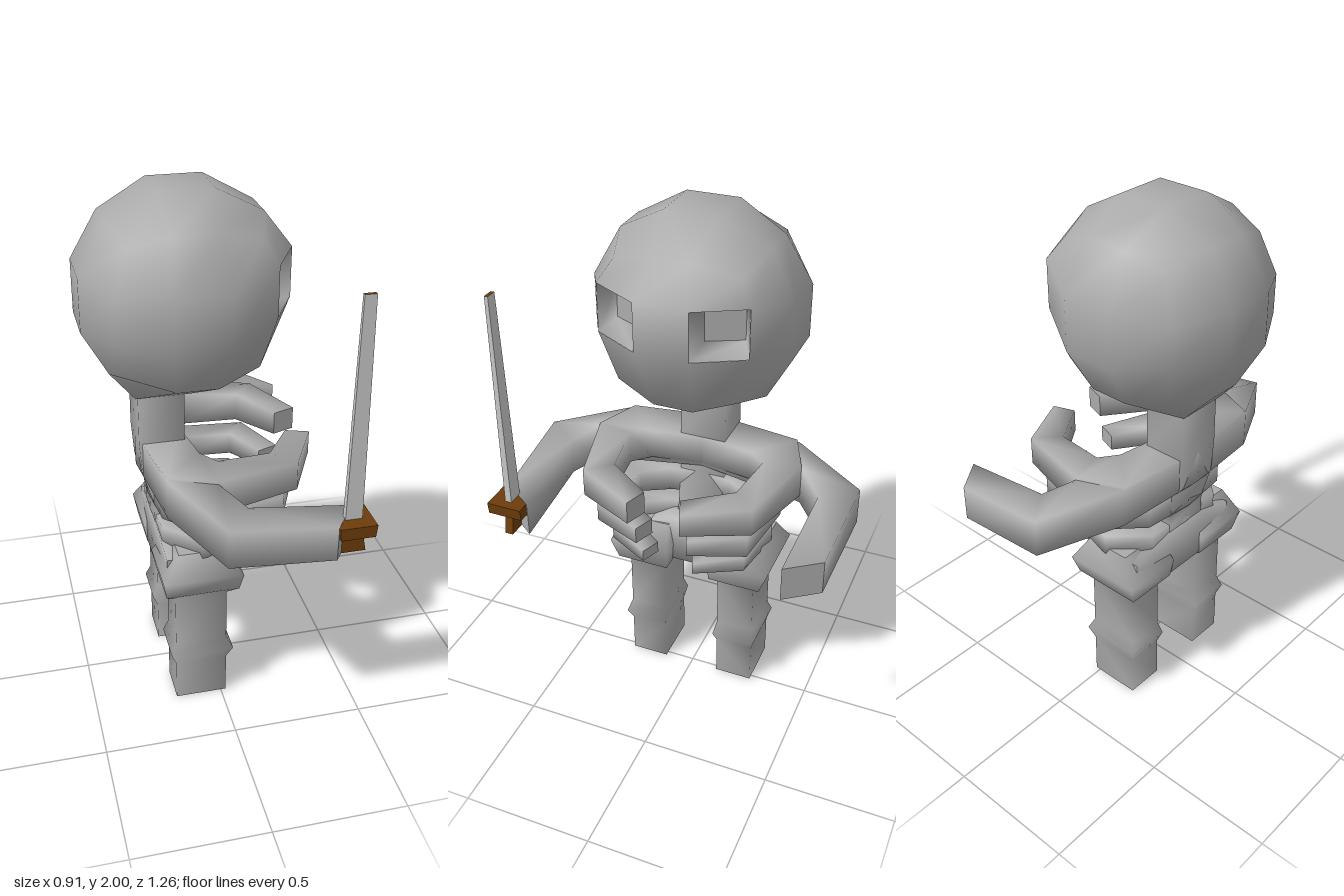
import * as THREE from 'three';
import { mergeVertices } from 'three/addons/utils/BufferGeometryUtils.js';

const bone = new THREE.MeshStandardMaterial({ color: 0xababab });
bone.name = 'bone grey';
const steel = new THREE.MeshStandardMaterial({ color: 0xc8c8c8 });
steel.name = 'steel';
const wood = new THREE.MeshStandardMaterial({ color: 0x6e3d0a });
wood.name = 'brown wood';

// Smooth skin over four-cornered rings, with flat end caps; inward turns it inside out
function loft(rings, { capStart = true, capEnd = true, inward = false } = {}) {
  const pos = rings.flat(2);
  const idx = [];
  for (let i = 0; i < rings.length - 1; i++) {
    for (let j = 0; j < 4; j++) {
      const a = i * 4 + j, b = i * 4 + (j + 1) % 4;
      idx.push(a, b, b + 4, a, b + 4, a + 4);
    }
  }
  const cap = (ring, flip) => {
    const n = pos.length / 3;
    pos.push(...ring.flat());
    idx.push(...(flip ? [n, n + 2, n + 1, n, n + 3, n + 2] : [n, n + 1, n + 2, n, n + 2, n + 3]));
  };
  if (capStart) cap(rings[0], true);
  if (capEnd) cap(rings[rings.length - 1], false);
  // signed volume about the first corner tells which way the faces point
  const o = new THREE.Vector3(...rings[0][0]);
  const p = (k) => new THREE.Vector3().fromArray(pos, k * 3).sub(o);
  let volume = 0;
  for (let i = 0; i < idx.length; i += 3) volume += p(idx[i]).dot(p(idx[i + 1]).cross(p(idx[i + 2])));
  if ((volume < 0) !== inward) idx.reverse();
  const g = new THREE.BufferGeometry();
  g.setAttribute('position', new THREE.Float32BufferAttribute(pos, 3));
  g.setIndex(idx);
  g.computeVertexNormals();
  return g;
}

// Level rectangle for upright parts
const level = ([y, x0, x1, z0, z1]) => [[x0, y, z0], [x1, y, z0], [x1, y, z1], [x0, y, z1]];

// Upright section between an outer and an inner point, for curving bands
const upright = (s) => ([xo, zo, xi, zi, y0, y1]) =>
  [[xo, y0, s * zo], [xi, y0, s * zi], [xi, y1, s * zi], [xo, y1, s * zo]];

// Skull: a cube of 3 x 3 cells per side rounded to a ball, with two cells left out for the eyes
function skullGeometry() {
  const R = 0.395, t = Math.tan(Math.PI / 12);
  const g = new THREE.BoxGeometry(2, 2, 2, 3, 3, 3);
  g.deleteAttribute('normal');
  g.deleteAttribute('uv');
  g.setIndex([...g.index.array].filter((_, i) => !(i >= 18 && i < 24) && !(i >= 30 && i < 36)));
  const p = g.attributes.position, v = new THREE.Vector3();
  const bend = (c) => (Math.abs(c) < 0.9 ? Math.sign(c) * t : c);
  for (let i = 0; i < p.count; i++) {
    v.fromBufferAttribute(p, i);
    const face = v.x > 0.9, middle = Math.abs(v.y) < 0.9, upper = v.y > 0;
    const jaw = v.y < -0.9 && Math.abs(v.x) < 0.9 && Math.abs(v.z) < 0.9;
    v.set(bend(v.x), bend(v.y), bend(v.z)).normalize().multiplyScalar(R);
    if (face && middle) v.y = upper ? 0.15 : -0.03;
    if (jaw) v.x -= 0.09;
    p.setXYZ(i, v.x - 0.09, v.y + 1.63, v.z);
  }
  const m = mergeVertices(g, 1e-4);
  m.computeVertexNormals();
  return m;
}

export function createModel() {
  const model = new THREE.Group();
  const add = (name, geometry, material = bone, parent = model) => {
    const mesh = new THREE.Mesh(geometry, material);
    mesh.name = name;
    parent.add(mesh);
    return mesh;
  };

  add('skull', skullGeometry());

  // Neck and backbone
  add('spine', loft([
    [1.28, -0.27, -0.1, -0.09, 0.09],
    [1.07, -0.27, -0.1, -0.09, 0.09],
    [0.94, -0.26, -0.1, -0.09, 0.09],
    [0.81, -0.22, -0.08, -0.09, 0.09],
    [0.76, -0.22, -0.08, -0.09, 0.09],
    [0.6, -0.21, 0.0, -0.1, 0.1],
  ].map(level)));

  // Hip bridge between the legs
  add('pelvis', loft([
    [-0.21, -0.27, 0.02, -0.27, 0.53, 0.67],
    [-0.22, -0.09, 0.0, -0.09, 0.53, 0.73],
    [-0.22, 0.09, 0.0, 0.09, 0.53, 0.73],
    [-0.21, 0.27, 0.02, 0.27, 0.53, 0.67],
  ].map(upright(1))));

  for (const s of [1, -1]) {
    const side = s > 0 ? 'front' : 'back';
    const sideLevel = ([y, x0, x1, z0, z1]) => level([y, x0, x1, s * z0, s * z1]);

    // Eye socket
    const corner = (x, y, z) => [x, y, s * z];
    add(side + 'EyeSocket', loft([
      [corner(0.279, 1.6, 0.099), corner(0.184, 1.6, 0.274), corner(0.184, 1.78, 0.274), corner(0.279, 1.78, 0.099)],
      [corner(0.17, 1.63, 0.11), corner(0.11, 1.63, 0.235), corner(0.11, 1.75, 0.235), corner(0.17, 1.75, 0.11)],
    ], { capStart: false, inward: true }));

    // Hip, knee and foot in one run
    add(side + 'Leg', loft([
      [0.7, -0.17, 0.01, 0.1, 0.29],
      [0.6, -0.235, 0.07, 0.085, 0.33],
      [0.52, -0.22, 0.06, 0.09, 0.3],
      [0.485, -0.18, 0.02, 0.115, 0.265],
      [0.27, -0.18, 0.02, 0.115, 0.265],
      [0.22, -0.2, 0.045, 0.105, 0.28],
      [0.17, -0.18, 0.02, 0.115, 0.265],
      [0, -0.18, 0.02, 0.115, 0.265],
    ].map(sideLevel)));

    // Shoulder, elbow and hand
    add(side + 'Arm', loft([
      [-0.27, 0, -0.1, 0, 0.94, 1.07],
      [-0.22, 0.35, -0.05, 0.41, 0.91, 1.06],
      [-0.07, 0.63, 0.03, 0.5, 0.865, 1.01],
      [0.32, 0.615, 0.41, 0.49, 0.825, 0.96],
    ].map(upright(s))));

    // Three ribs, shrinking downwards
    add(side + 'UpperRib', loft([
      [-0.27, 0, -0.1, 0, 0.95, 1.07],
      [-0.22, 0.34, -0.07, 0.2, 0.95, 1.07],
      [-0.05, 0.41, -0.02, 0.27, 0.94, 1.07],
      [0.26, 0.33, 0.18, 0.24, 0.95, 1.06],
      [0.375, 0.1, 0.29, 0.07, 0.96, 1.05],
    ].map(upright(s))));
    add(side + 'MiddleRib', loft([
      [-0.23, 0, -0.1, 0, 0.81, 0.91],
      [-0.21, 0.2, -0.08, 0.12, 0.81, 0.91],
      [-0.08, 0.33, -0.02, 0.23, 0.81, 0.9],
      [0.22, 0.3, 0.15, 0.21, 0.815, 0.9],
      [0.31, 0.1, 0.23, 0.07, 0.825, 0.89],
    ].map(upright(s))));
    add(side + 'LowerRib', loft([
      [-0.22, 0, -0.1, 0, 0.67, 0.76],
      [-0.21, 0.18, -0.08, 0.12, 0.67, 0.76],
      [-0.08, 0.3, -0.02, 0.21, 0.68, 0.76],
      [0.16, 0.27, 0.1, 0.19, 0.695, 0.755],
      [0.255, 0.1, 0.18, 0.07, 0.7, 0.745],
    ].map(upright(s))));
  }

  // Sword held in the hand on the +z side
  const sword = new THREE.Group();
  sword.name = 'sword';
  sword.position.set(0.386, 0, 0.562);
  model.add(sword);

  // Box whose top and bottom differ in size
  const taper = (y0, w0, d0, y1, w1, d1) => {
    const g = new THREE.BoxGeometry(1, y1 - y0, 1).translate(0, (y0 + y1) / 2, 0);
    const p = g.attributes.position;
    for (let i = 0; i < p.count; i++) {
      const top = p.getY(i) > (y0 + y1) / 2;
      p.setX(i, p.getX(i) * (top ? w1 : w0));
      p.setZ(i, p.getZ(i) * (top ? d1 : d0));
    }
    g.computeVertexNormals();
    return g;
  };
  add('blade', taper(0.95, 0.062, 0.026, 1.775, 0.042, 0.014),
    [steel, steel, wood, steel, steel, steel], sword);
  add('guard', taper(0.912, 0.125, 0.135, 0.958, 0.135, 0.135), wood, sword);
  add('grip', taper(0.825, 0.1, 0.032, 0.915, 0.065, 0.032), wood, sword);

  return model;
}
